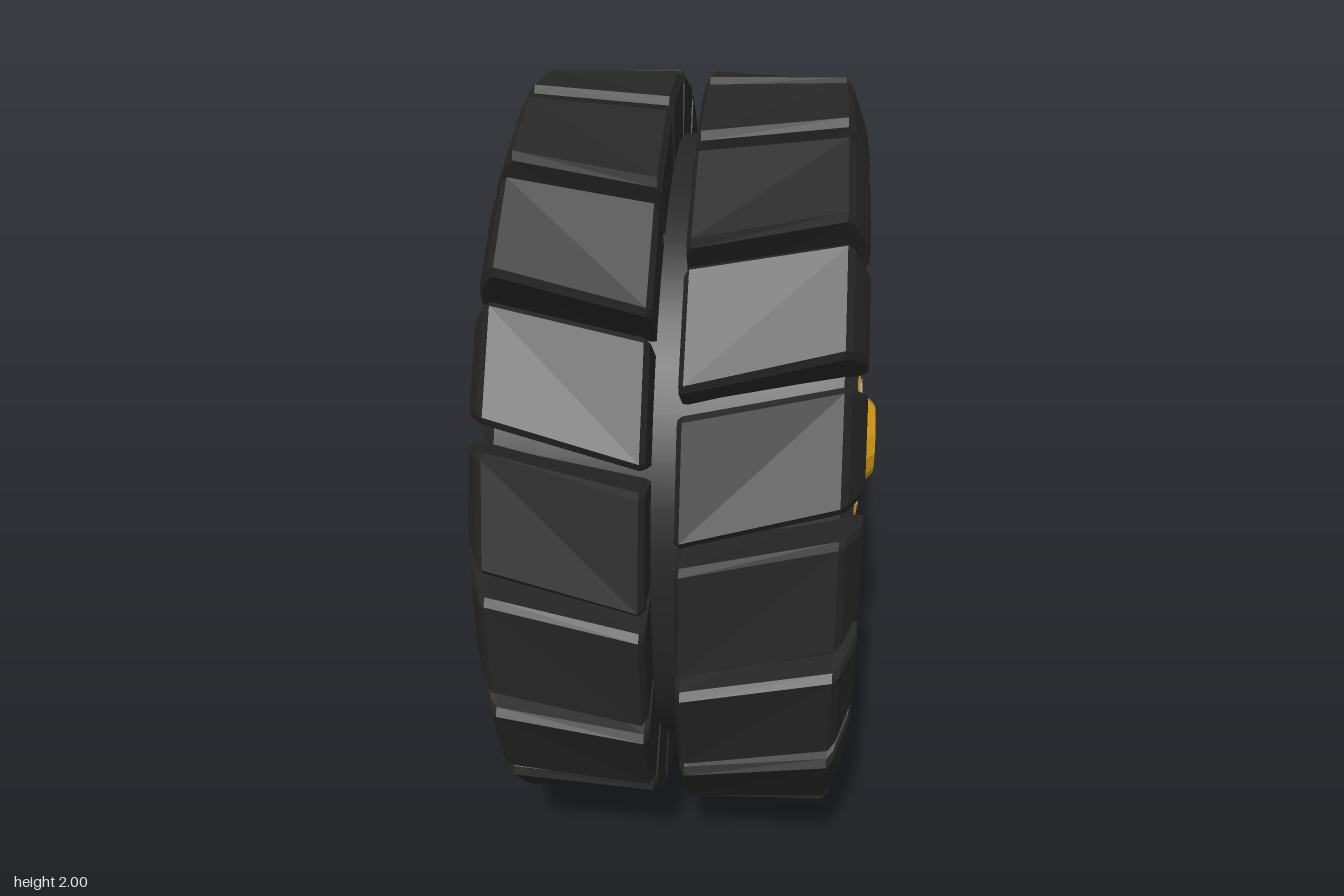
import * as THREE from 'three';
import { toCreasedNormals } from 'three/addons/utils/BufferGeometryUtils.js';

const rad = THREE.MathUtils.degToRad;
const LUGS = 18;

// Solid of revolution about the x axis; profile points are [radius, x]
function turned(profile, segments, crease) {
  const geo = new THREE.LatheGeometry(profile.map(([r, x]) => new THREE.Vector2(r, x)), segments);
  geo.rotateZ(-Math.PI / 2);
  return toCreasedNormals(geo, crease);
}

// One slanted tread block, lofted across the tyre; side is +1 or -1
function lugGeometry(side) {
  // x, corner radius, base radius, half angle in degrees
  const stations = [
    [0.033, 0.975, 0.79, 8.0],
    [0.045, 0.998, 0.79, 8.3],
    [0.395, 0.99, 0.79, 7.9],
    [0.412, 0.968, 0.79, 7.8],
    [0.445, 0.878, 0.795, 7.4],
    [0.453, 0.85, 0.8, 7.2],
  ];
  const rings = stations.map(([x, r, base, half]) => {
    const mid = (0.453 - x) / 0.42 * -5.8;
    const section = [
      [base, -half - 0.9], [r - 0.018, -half - 0.3], [r, -half + 0.6],
      [r, half - 0.6], [r - 0.018, half + 0.3], [base, half + 0.9],
    ];
    return section.map(([q, a]) => {
      const t = rad(mid + a);
      return [side * x, q * Math.sin(t), q * Math.cos(t)];
    });
  });
  const pos = [];
  const tri = (a, b, c) => pos.push(...a, ...(side > 0 ? b : c), ...(side > 0 ? c : b));
  const n = rings[0].length;
  for (let i = 0; i < rings.length - 1; i++) {
    for (let j = 0; j < n; j++) {
      const k = (j + 1) % n;
      tri(rings[i][j], rings[i + 1][j], rings[i + 1][k]);
      tri(rings[i][j], rings[i + 1][k], rings[i][k]);
    }
  }
  // End caps
  const first = rings[0], last = rings[rings.length - 1];
  for (let j = 1; j < n - 1; j++) {
    tri(first[0], first[j], first[j + 1]);
    tri(last[0], last[j + 1], last[j]);
  }
  const geo = new THREE.BufferGeometry();
  geo.setAttribute('position', new THREE.Float32BufferAttribute(pos, 3));
  geo.computeVertexNormals();
  return geo;
}

export function createModel() {
  const material = (name, color) => {
    const m = new THREE.MeshStandardMaterial({ color });
    m.name = name;
    return m;
  };
  const rubber = material('black rubber', 0x262626);
  const paint = material('yellow paint', 0xd99c10);
  const steel = material('grey steel', 0x737982);

  const model = new THREE.Group();
  model.name = 'wheel';
  const add = (parent, name, geo, mat) => {
    const mesh = new THREE.Mesh(geo, mat);
    mesh.name = name;
    parent.add(mesh);
    return mesh;
  };

  const wheel = new THREE.Group();
  wheel.name = 'wheelAssembly';
  wheel.position.y = 1;
  model.add(wheel);

  // Tyre carcass
  add(wheel, 'tyre', turned([
    [0.5, -0.432], [0.79, -0.432], [0.825, -0.4], [0.83, -0.3],
    [0.83, 0.3], [0.825, 0.4], [0.79, 0.432], [0.5, 0.432],
  ], 48, 0.4), rubber);

  // Two rows of tread blocks, staggered by half a pitch
  for (const side of [1, -1]) {
    const tread = new THREE.Group();
    tread.name = side > 0 ? 'leftTread' : 'rightTread';
    wheel.add(tread);
    const geo = lugGeometry(side);
    const phase = side > 0 ? 6.3 : -3.7;
    for (let i = 0; i < LUGS; i++) {
      add(tread, 'treadBlock', geo, rubber).rotation.x = -rad(phase + i * 360 / LUGS);
    }
  }

  // Rim disc, hub cap and bolts, the same on both sides
  const rimGeo = turned([[0.545, 0.4], [0.545, 0.441], [0.531, 0.449], [0, 0.449]], 28, 0.4);
  const hubGeo = turned([[0.122, 0.44], [0.122, 0.487], [0.095, 0.513], [0, 0.513]], 12, 0.1);
  const boltGeo = toCreasedNormals(new THREE.CylinderGeometry(0.03, 0.03, 0.03, 6), 0.1);
  boltGeo.rotateZ(-Math.PI / 2);
  for (const side of [1, -1]) {
    const face = new THREE.Group();
    face.name = side > 0 ? 'leftFace' : 'rightFace';
    if (side < 0) face.rotation.y = Math.PI;
    wheel.add(face);
    add(face, 'rim', rimGeo, paint);
    add(face, 'hubCap', hubGeo, paint);
    for (let i = 0; i < 10; i++) {
      const a = i * Math.PI / 5;
      add(face, 'bolt', boltGeo, steel).position.set(0.455, 0.188 * Math.sin(a), 0.188 * Math.cos(a));
    }
  }
  return model;
}
